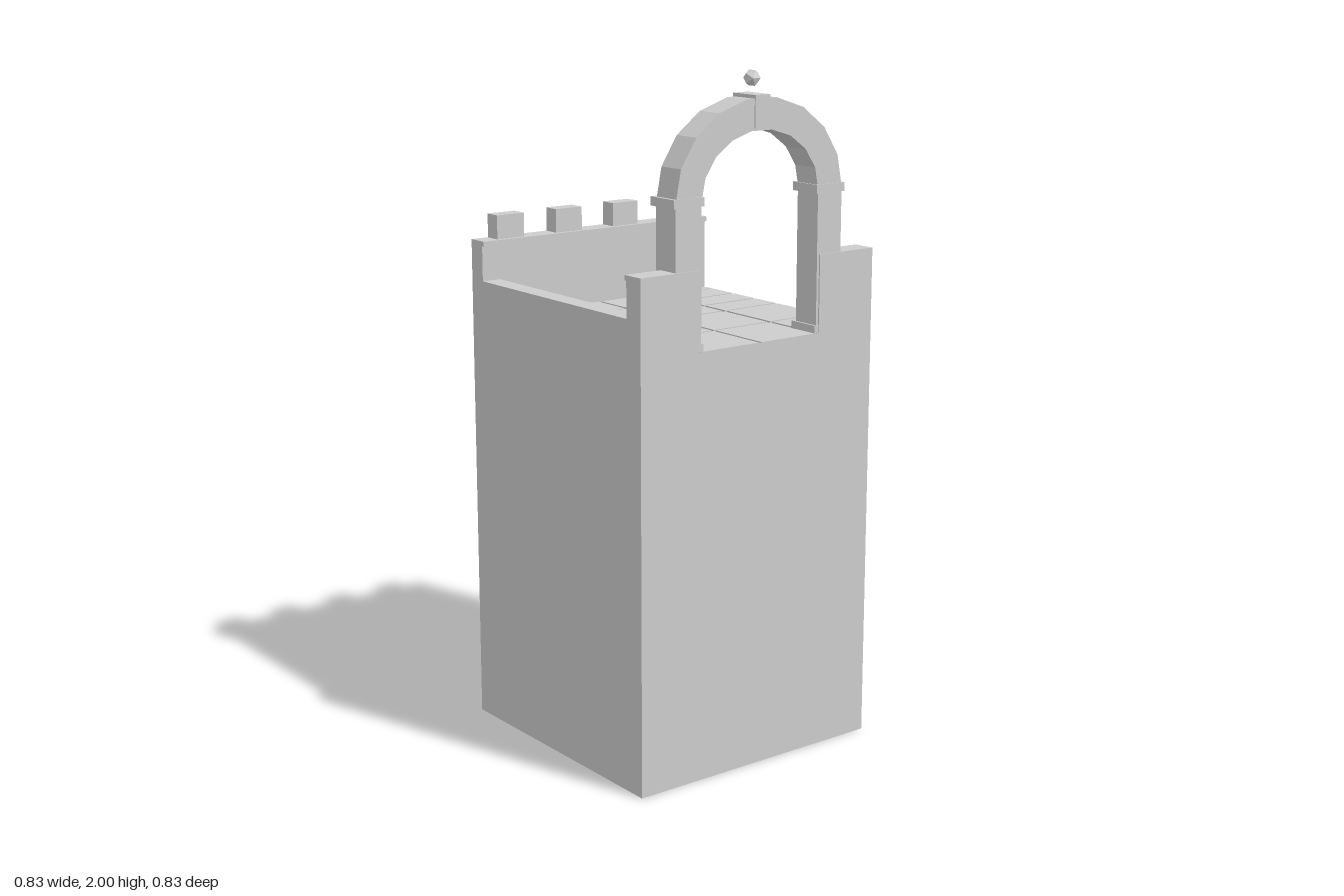
import * as THREE from 'three';

export function createModel() {
  const model = new THREE.Group();
  model.name = 'towerTop';
  const stone = new THREE.MeshStandardMaterial({ color: 0xcccccc, side: THREE.DoubleSide, flatShading: true });
  stone.name = 'stone grey';

  const add = (name, geometry, parent = model) => {
    const mesh = new THREE.Mesh(geometry, stone);
    mesh.name = name;
    parent.add(mesh);
    return mesh;
  };
  // Box given by its extents along each axis
  const box = (name, x0, x1, y0, y1, z0, z1, parent) => {
    const mesh = add(name, new THREE.BoxGeometry(x1 - x0, y1 - y0, z1 - z0), parent);
    mesh.position.set((x0 + x1) / 2, (y0 + y1) / 2, (z0 + z1) / 2);
    return mesh;
  };

  const H = 0.415, FLOOR = 1.25, TOP = 1.475;

  // Thin outer walls on three sides, open at the back and bottom
  const wall = (name, x, z, turn) => {
    const mesh = add(name, new THREE.PlaneGeometry(2 * H, FLOOR));
    mesh.position.set(x, FLOOR / 2, z);
    mesh.rotation.y = turn;
  };
  wall('frontWall', 0, H, 0);
  wall('leftWall', H, 0, Math.PI / 2);
  wall('rightWall', -H, 0, -Math.PI / 2);

  // Floor bed with raised paving stones
  box('floorBed', -H, H, FLOOR - 0.012, FLOOR - 0.005, -H, H);
  const paving = new THREE.Group();
  paving.name = 'paving';
  model.add(paving);
  const outerColumns = [[-0.349, -0.319], [-0.312, -0.216], [-0.207, -0.11], [-0.1, -0.007], [0.001, 0.202], [0.211, 0.345]];
  const innerColumns = [[-0.349, -0.216], [-0.207, -0.007], [0.001, 0.202], [0.211, 0.413]];
  const rows = [
    [-0.412, -0.215, outerColumns], [-0.203, -0.006, innerColumns],
    [0.004, 0.203, innerColumns], [0.211, 0.355, outerColumns],
  ];
  for (const [z0, z1, columns] of rows)
    for (const [x0, x1] of columns) box('pavingStone', x0, x1, FLOOR - 0.006, FLOOR, z0, z1, paving);

  // Right parapet with coping and battlements
  box('rightParapet', -H, -0.358, FLOOR - 0.012, TOP - 0.015, -H, H);
  box('rightCoping', -H, -0.35, TOP - 0.015, TOP, -H, H);
  for (const z of [-0.314, -0.107, 0.103, 0.312])
    box('battlement', -0.413, -0.362, TOP, 1.546, z - 0.047, z + 0.047);

  // Low front parapet
  box('frontParapet', -0.358, 0.352, FLOOR - 0.012, 1.357, 0.355, H);

  // Left parapet and archway pillars, mirrored front to back
  for (const s of [-1, 1]) {
    const side = (name, x0, x1, y0, y1, a, b) =>
      box(name, x0, x1, y0, y1, Math.min(s * a, s * b), Math.max(s * a, s * b));
    side('leftParapet', 0.352, H, FLOOR - 0.012, TOP - 0.015, 0.215, H);
    side('leftCoping', 0.345, H, TOP - 0.015, TOP, 0.215, H);
    side('pillar', 0.325, 0.411, FLOOR, 1.65, 0.207, 0.295);
    side('pillarBase', 0.313, 0.413, FLOOR, 1.272, 0.2, 0.303);
    side('pillarCapital', 0.312, 0.414, 1.647, 1.672, 0.2, 0.303);
  }

  // Faceted round arch
  const ring = (rz, ry) => {
    const points = [];
    for (const deg of [-90, -70, -50, -30, -10, 10, 30, 50, 70, 90]) {
      const a = THREE.MathUtils.degToRad(deg);
      points.push(new THREE.Vector2(rz * Math.sin(a), 1.66 + ry * Math.cos(a)));
    }
    return points;
  };
  const archShape = new THREE.Shape([...ring(0.295, 0.267), ...ring(0.207, 0.179).reverse()]);
  const arch = add('arch', new THREE.ExtrudeGeometry(archShape, { depth: 0.085, bevelEnabled: false }));
  arch.rotation.y = Math.PI / 2;
  arch.position.x = 0.326;

  // Keystone and finial
  box('keystone', 0.319, H, 1.843, 1.933, -0.026, 0.026);
  const finial = add('finial', new THREE.IcosahedronGeometry(0.025, 0));
  finial.position.set(0.367, 1.975, 0);

  return model;
}
